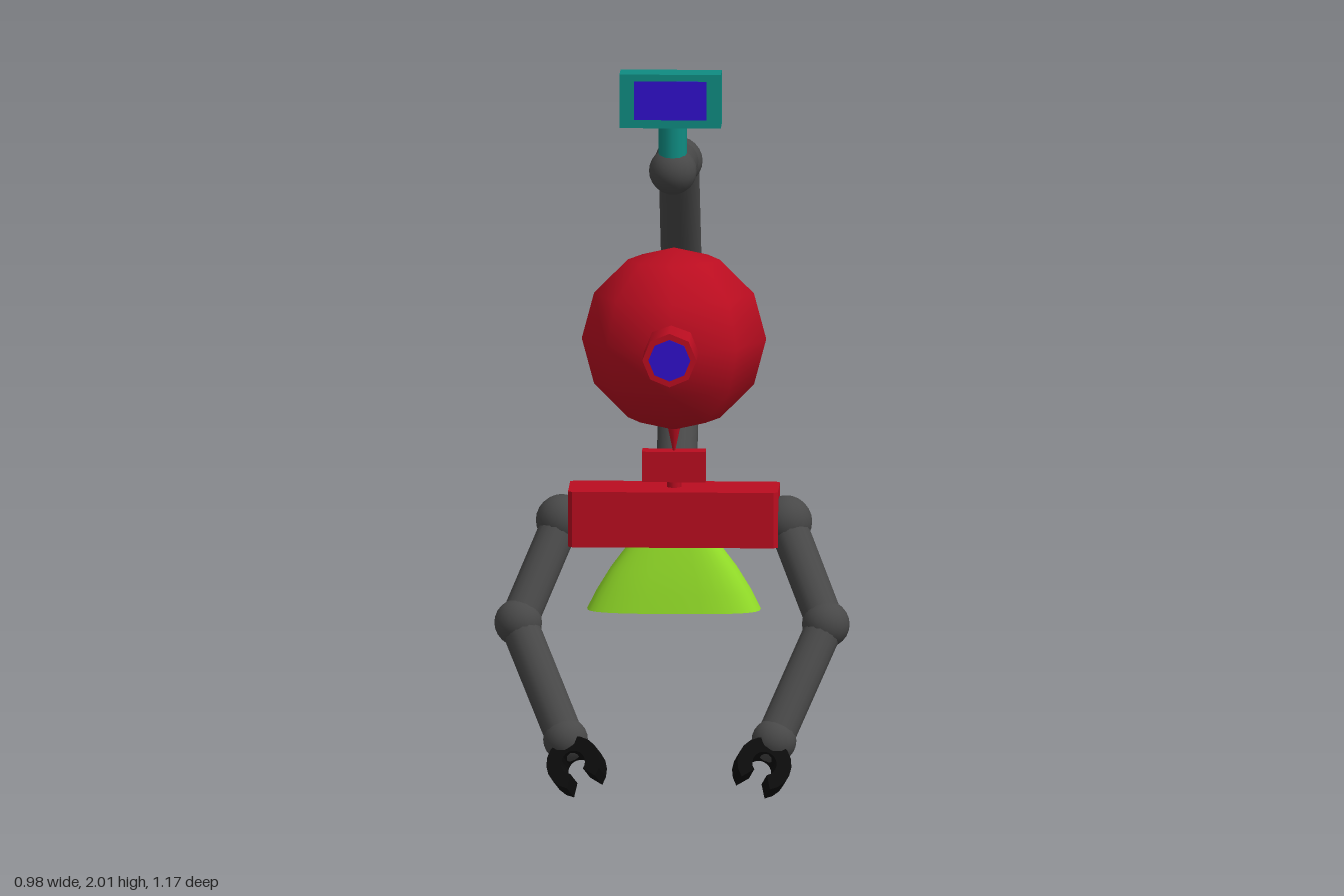
import * as THREE from 'three';

const paint = (color, extra = {}) => new THREE.MeshStandardMaterial({ color, ...extra });
const red = paint(0xbb0d20), redFlat = paint(0xbb0d20, { flatShading: true });
const grey = paint(0x484848), black = paint(0x0c0c0c, { flatShading: true });
const teal = paint(0x0f8c82, { flatShading: true }), blue = paint(0x3010cc);
const green = paint(0x92dc28, { side: THREE.DoubleSide });
const V = (x, y, z) => new THREE.Vector3(x, y, z);

function add(parent, name, geometry, material, x = 0, y = 0, z = 0) {
  const mesh = new THREE.Mesh(geometry, material);
  mesh.name = name;
  mesh.position.set(x, y, z);
  parent.add(mesh);
  return mesh;
}

// Skin over scaled copies of one outline; sections are [halfWidth, halfHeight, z, yOffset]
function loft(outline, sections) {
  const n = outline.length, pos = [], index = [];
  sections.forEach(([w, h, z, y = 0], s) => outline.forEach(([u, v], i) => {
    pos.push(u * w, v * h + y, z);
    if (s === 0) return;
    const a = (s - 1) * n + i, b = (s - 1) * n + (i + 1) % n;
    index.push(a, b, b + n, a, b + n, a + n);
  }));
  const g = new THREE.BufferGeometry();
  g.setAttribute('position', new THREE.Float32BufferAttribute(pos, 3));
  g.setIndex(index);
  g.computeVertexNormals();
  return g;
}

// Straight tubes between ball joints
function limb(name, points, tubeRadius, ballRadii) {
  const group = new THREE.Group();
  group.name = name;
  points.forEach((p, i) => {
    add(group, 'joint', new THREE.SphereGeometry(ballRadii[i], 16, 12), grey, p.x, p.y, p.z);
    if (i === 0) return;
    const d = p.clone().sub(points[i - 1]);
    const mid = p.clone().add(points[i - 1]).multiplyScalar(0.5);
    const tube = add(group, 'tube', new THREE.CylinderGeometry(tubeRadius, tubeRadius, d.length(), 16, 1, true), grey, mid.x, mid.y, mid.z);
    tube.quaternion.setFromUnitVectors(V(0, 1, 0), d.normalize());
  });
  return group;
}

// C-shaped claw, opening along +y, thick along z
function clawGeometry(outer, inner, depth) {
  const gap = 0.6, shape = new THREE.Shape();
  shape.absarc(0, 0, outer, Math.PI / 2 + gap, Math.PI * 2.5 - gap, false);
  shape.absarc(0, 0, inner, Math.PI * 2.5 - gap, Math.PI / 2 + gap, true);
  const g = new THREE.ExtrudeGeometry(shape, { depth, bevelEnabled: false, curveSegments: 8 });
  return g.translate(0, 0, -depth / 2);
}

export function createModel() {
  const model = new THREE.Group();
  model.name = 'robot';

  // Head with its eye
  add(model, 'head', new THREE.SphereGeometry(0.255, 8, 6), red, 0, 1.21, 0.13);
  add(model, 'eyeBarrel', new THREE.CylinderGeometry(0.075, 0.075, 0.2, 8).rotateX(Math.PI / 2), red, 0, 1.21, 0.408);
  add(model, 'eyeLens', new THREE.CylinderGeometry(0.058, 0.058, 0.004, 8).rotateX(Math.PI / 2), blue, 0, 1.21, 0.509);

  // Neck
  add(model, 'neckPin', new THREE.CylinderGeometry(0.022, 0.003, 0.09, 8), red, 0, 0.94, 0.13);
  add(model, 'neckBlock', new THREE.BoxGeometry(0.176, 0.085, 0.06), red, 0, 0.855, 0.13);
  add(model, 'neckBase', new THREE.CylinderGeometry(0.02, 0.02, 0.04, 8), red, 0, 0.8, 0.13);

  // Torso with chamfered upright edges
  const w = 0.29, d = 0.098, c = 0.012;
  const plan = new THREE.Shape([[w - c, -d], [w, c - d], [w, d - c], [w - c, d], [c - w, d], [-w, d - c], [-w, c - d], [c - w, -d]]
    .map(([x, y]) => new THREE.Vector2(x, y)));
  const torso = new THREE.ExtrudeGeometry(plan, { depth: 0.155, bevelEnabled: false });
  add(model, 'torso', torso.rotateX(-Math.PI / 2), redFlat, 0, 0.64, 0.13);

  // Hollow flared skirt
  const oval = Array.from({ length: 32 }, (_, i) => {
    const a = (i / 32) * Math.PI * 2, soft = (v) => Math.sign(v) * Math.abs(v) ** 0.65;
    return [soft(Math.cos(a)), soft(Math.sin(a))];
  });
  const skirt = loft(oval, [[0.24, 0.1, 0], [0.215, 0.092, 0.05], [0.175, 0.08, 0.115], [0.12, 0.062, 0.188]]);
  add(model, 'skirt', skirt.rotateX(-Math.PI / 2), green, 0, 0.455, 0.13);

  // Arms and claws
  for (const [side, s] of [['left', 1], ['right', -1]]) {
    const elbow = V(s * 0.425, 0.44, 0.295), wrist = V(s * 0.288, 0.143, 0.478);
    const arm = limb(side + 'Arm', [V(s * 0.31, 0.7, 0.13), elbow, wrist], 0.053, [0.072, 0.066, 0.062]);
    const along = wrist.clone().sub(elbow).normalize();
    const across = V(0, 0, 1).cross(along).normalize().negate();
    const thick = across.clone().cross(along);
    const claw = add(arm, side + 'Claw', clawGeometry(0.076, 0.034, 0.085), black);
    claw.quaternion.setFromRotationMatrix(new THREE.Matrix4().makeBasis(across, along, thick));
    claw.position.copy(wrist).addScaledVector(along, 0.088);
    model.add(arm);
  }

  // Rear arm curving over the head
  model.add(limb('rearArm', [V(0, 0.715, 0.008), V(0, 1.25, -0.52), V(0, 1.645, -0.255), V(0, 1.695, 0.225)],
    0.056, [0.066, 0.066, 0.066, 0.066]));

  // Screen on its stem, flaring from a narrow back block
  add(model, 'screenStem', new THREE.CylinderGeometry(0.04, 0.04, 0.2, 12), paint(0x0f8c82), 0, 1.82, 0.235);
  const rect = [[1, -1], [1, 1], [-1, 1], [-1, -1]];
  const housing = loft(rect, [[0, 0, 0.193], [0.067, 0.036, 0.193], [0.067, 0.036, 0.28],
    [0.14, 0.075, 0.36, -0.003], [0.14, 0.075, 0.447, -0.003], [0, 0, 0.447, -0.003]]);
  add(model, 'screenHousing', housing, teal, 0, 1.928, 0);
  add(model, 'screen', new THREE.BoxGeometry(0.2, 0.108, 0.004), blue, 0, 1.927, 0.447);

  return model;
}
